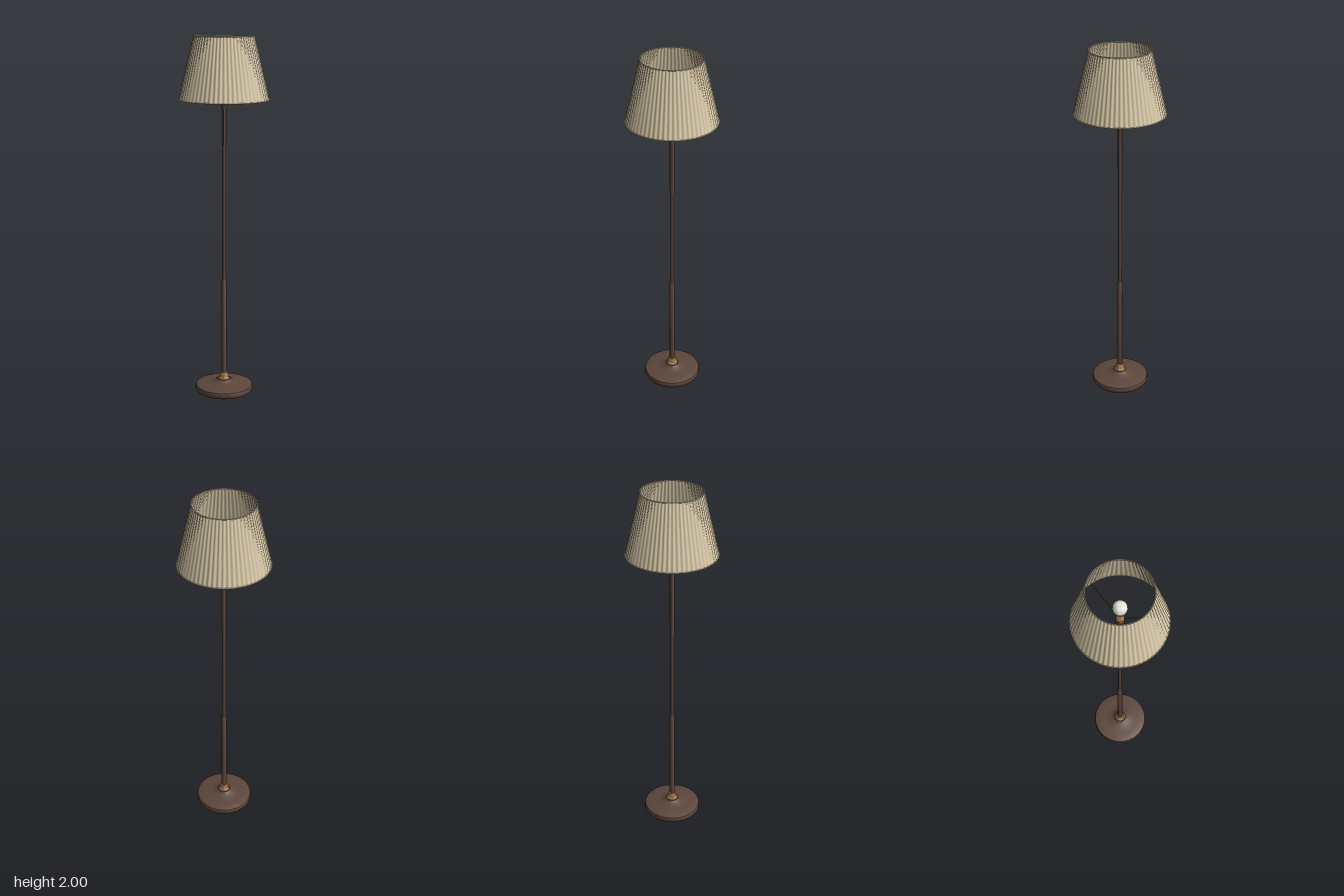
import * as THREE from 'three';
import { mergeVertices, toCreasedNormals } from 'three/addons/utils/BufferGeometryUtils.js';

export function createModel() {
  const lamp = new THREE.Group();
  lamp.name = 'floorLamp';

  const material = (name, color, side = THREE.FrontSide) => {
    const m = new THREE.MeshStandardMaterial({ color, side });
    m.name = name;
    return m;
  };
  const bronze = material('darkBronze', 0x5c463b);
  const brass = material('brass', 0xa67c4e);
  const linen = material('linen', 0xd9c9a8, THREE.DoubleSide);
  const glass = material('opalGlass', 0xe8e4da);

  const add = (name, geometry, mat, parent = lamp) => {
    const mesh = new THREE.Mesh(geometry, mat);
    mesh.name = name;
    parent.add(mesh);
    return mesh;
  };
  // Turned part from [radius, height] pairs, listed bottom to top
  const turned = (name, profile, mat, segments = 48) => {
    const points = profile.map(([r, y]) => new THREE.Vector2(r, y));
    return add(name, toCreasedNormals(new THREE.LatheGeometry(points, segments), 0.7), mat);
  };

  // Weighted foot with a rounded rim and a gentle rise to the centre
  turned('base', [
    [0, 0], [0.152, 0], [0.159, 0.003], [0.163, 0.01], [0.163, 0.028], [0.16, 0.035],
    [0.152, 0.039], [0.11, 0.042], [0.08, 0.046], [0.058, 0.052], [0.044, 0.059],
    [0.036, 0.066], [0, 0.066],
  ], bronze, 72);
  turned('baseCollar', [
    [0, 0.064], [0.031, 0.064], [0.032, 0.069], [0.029, 0.073], [0.025, 0.077],
    [0.024, 0.098], [0.021, 0.106], [0, 0.106],
  ], brass);

  // Two-stage pole and the cup at its top
  turned('lowerPole', [[0, 0.1], [0.015, 0.1], [0.015, 0.649], [0.0135, 0.652], [0, 0.652]], bronze, 32);
  turned('upperPole', [[0.0122, 0.64], [0.0122, 1.63]], bronze, 32);
  turned('poleCup', [
    [0, 1.608], [0.013, 1.608], [0.016, 1.62], [0.019, 1.636], [0.023, 1.642],
    [0.023, 1.664], [0, 1.664],
  ], bronze, 32);

  // Lamp holder and bulb
  turned('socket', [
    [0, 1.66], [0.02, 1.66], [0.02, 1.69], [0.023, 1.694], [0.023, 1.7],
    [0.02, 1.704], [0.02, 1.742], [0.017, 1.746], [0, 1.746],
  ], brass, 32);
  turned('bulb', [
    [0.014, 1.744], [0.016, 1.755], [0.023, 1.772], [0.031, 1.787], [0.036, 1.802],
    [0.0375, 1.816], [0.035, 1.83], [0.028, 1.842], [0.018, 1.85], [0.008, 1.853], [0, 1.8535],
  ], glass);

  // Pleated shade: an open cone rippled around its circumference
  const pleats = 60, bottomY = 1.66, topY = 1.997, bottomR = 0.244, topR = 0.163;
  let cloth = new THREE.CylinderGeometry(topR, bottomR, topY - bottomY, pleats * 8, 4, true);
  cloth.translate(0, (topY + bottomY) / 2, 0);
  const pos = cloth.attributes.position;
  for (let i = 0; i < pos.count; i++) {
    const x = pos.getX(i), z = pos.getZ(i);
    const k = 1 + 0.0022 * Math.cos(Math.atan2(z, x) * pleats) / Math.hypot(x, z);
    pos.setXYZ(i, x * k, pos.getY(i), z * k);
  }
  cloth.deleteAttribute('uv');
  cloth.deleteAttribute('normal');
  cloth = mergeVertices(cloth);
  cloth.computeVertexNormals();
  add('shade', cloth, linen);

  // Bound edges of the shade
  for (const [name, r, y] of [['shadeTopTrim', topR, topY], ['shadeBottomTrim', bottomR + 0.001, bottomY]]) {
    const trim = add(name, new THREE.TorusGeometry(r, 0.003, 8, 96), linen);
    trim.rotation.x = Math.PI / 2;
    trim.position.y = y;
  }

  // Three thin arms carrying the shade
  const carrier = new THREE.Group();
  carrier.name = 'shadeCarrier';
  lamp.add(carrier);
  for (let i = 0; i < 3; i++) {
    const a = (i * Math.PI * 2) / 3;
    const arm = new THREE.LineCurve3(
      new THREE.Vector3(0.015 * Math.cos(a), 1.68, 0.015 * Math.sin(a)),
      new THREE.Vector3(0.242 * Math.cos(a), 1.665, 0.242 * Math.sin(a)),
    );
    add('shadeArm', new THREE.TubeGeometry(arm, 1, 0.003, 8), bronze, carrier);
  }

  return lamp;
}
